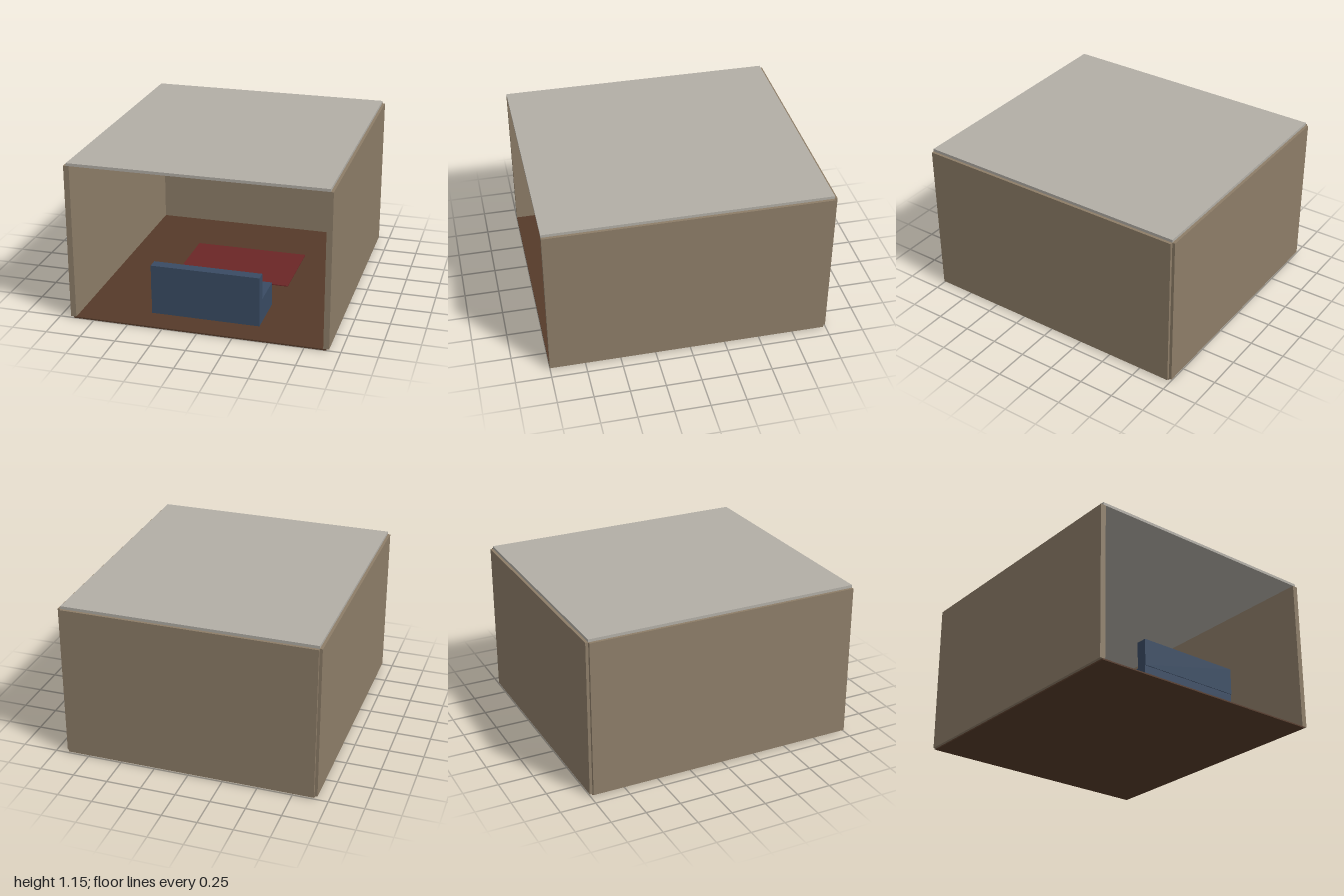
import * as THREE from 'three';

const paint = (color) => new THREE.MeshStandardMaterial({ color });

// Box given by its min and max extents along each axis
function box(name, material, [x0, x1], [y0, y1], [z0, z1]) {
  const mesh = new THREE.Mesh(new THREE.BoxGeometry(x1 - x0, y1 - y0, z1 - z0), material);
  mesh.position.set((x0 + x1) / 2, (y0 + y1) / 2, (z0 + z1) / 2);
  mesh.name = name;
  return mesh;
}

export function createModel() {
  const model = new THREE.Group();
  model.name = 'livingRoom';
  const wall = paint(0x8d7d68);
  const fabric = paint(0x394b63);

  // Room shell, open at the front
  const room = new THREE.Group();
  room.name = 'room';
  room.add(
    box('floor', paint(0x553a29), [-0.9, 0.9], [0, 0.01], [-0.98, 1]),
    box('ceiling', paint(0xb2aea6), [-0.9, 0.9], [1.128, 1.148], [-0.98, 1]),
    box('backWall', wall, [-0.9, 0.9], [0.01, 1.128], [-1, -0.96]),
    box('leftWall', wall, [0.88, 0.92], [0.01, 1.128], [-0.98, 1]),
    box('rightWall', wall, [-0.92, -0.88], [0.01, 1.128], [-0.98, 1]),
  );

  // Rug in the middle of the floor
  const rug = box('rug', paint(0x6b2626), [-0.43, 0.43], [0.01, 0.016], [-0.457, 0.128]);

  // Sofa facing the back wall
  const sofa = new THREE.Group();
  sofa.name = 'sofa';
  sofa.add(
    box('sofaSeat', fabric, [-0.39, 0.39], [0.01, 0.185], [0.45, 0.8]),
    box('sofaBackrest', fabric, [-0.39, 0.39], [0.185, 0.376], [0.727, 0.805]),
  );

  // Floor lamp in the far corner
  const lamp = new THREE.Group();
  lamp.name = 'floorLamp';
  const pole = new THREE.Mesh(new THREE.CylinderGeometry(0.009, 0.009, 0.575, 12), paint(0x1c1c1c));
  pole.name = 'lampPole';
  pole.position.y = 0.2975;
  lamp.add(pole, box('lampShade', paint(0xc9b183), [-0.063, 0.063], [0.583, 0.688], [-0.063, 0.063]));
  lamp.position.set(0.728, 0, -0.78);

  model.add(room, rug, sofa, lamp);
  return model;
}
